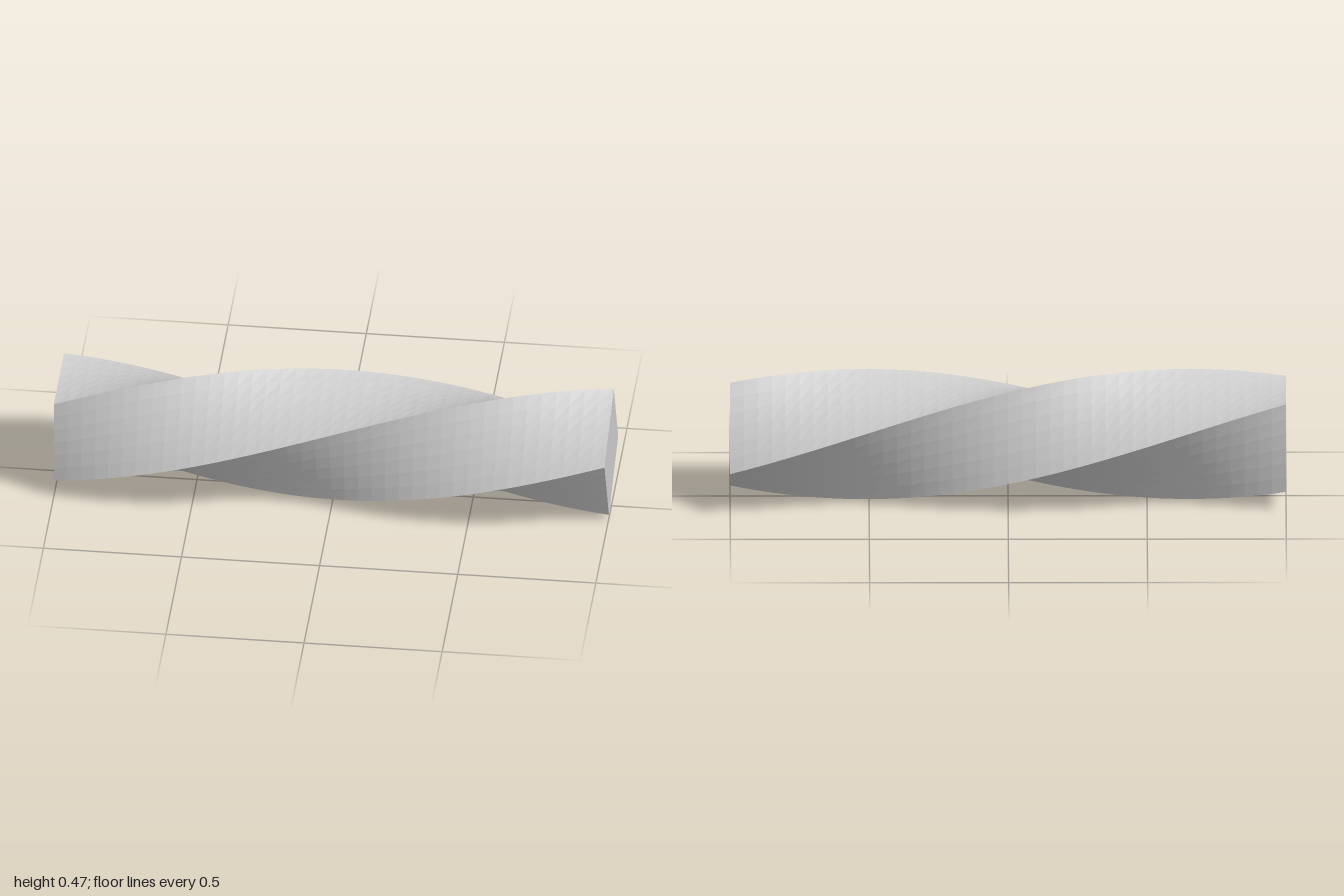
import * as THREE from 'three';

const LENGTH = 2;
const SIDE = 0.331;
const TWIST = 2.7; // radians from the right end to the left end

// Rotates every cross-section about the x axis in proportion to its position
function twistAlongX(geometry, length, twist) {
  const p = geometry.attributes.position;
  for (let i = 0; i < p.count; i++) {
    const a = twist * (p.getX(i) / length + 0.5);
    const y = p.getY(i), z = p.getZ(i);
    p.setY(i, y * Math.cos(a) + z * Math.sin(a));
    p.setZ(i, z * Math.cos(a) - y * Math.sin(a));
  }
  geometry.computeVertexNormals();
  return geometry;
}

export function createModel() {
  const group = new THREE.Group();
  group.name = 'twistedBar';

  // Square bar, finely divided along its length so the twist stays smooth
  const geometry = twistAlongX(new THREE.BoxGeometry(LENGTH, SIDE, SIDE, 40, 6, 6), LENGTH, TWIST);
  const material = new THREE.MeshStandardMaterial({ color: 0xcccccc, flatShading: true });
  const bar = new THREE.Mesh(geometry, material);
  bar.name = 'bar';
  bar.position.y = SIDE * Math.SQRT1_2; // lowest swept corner rests on the ground
  group.add(bar);
  return group;
}
